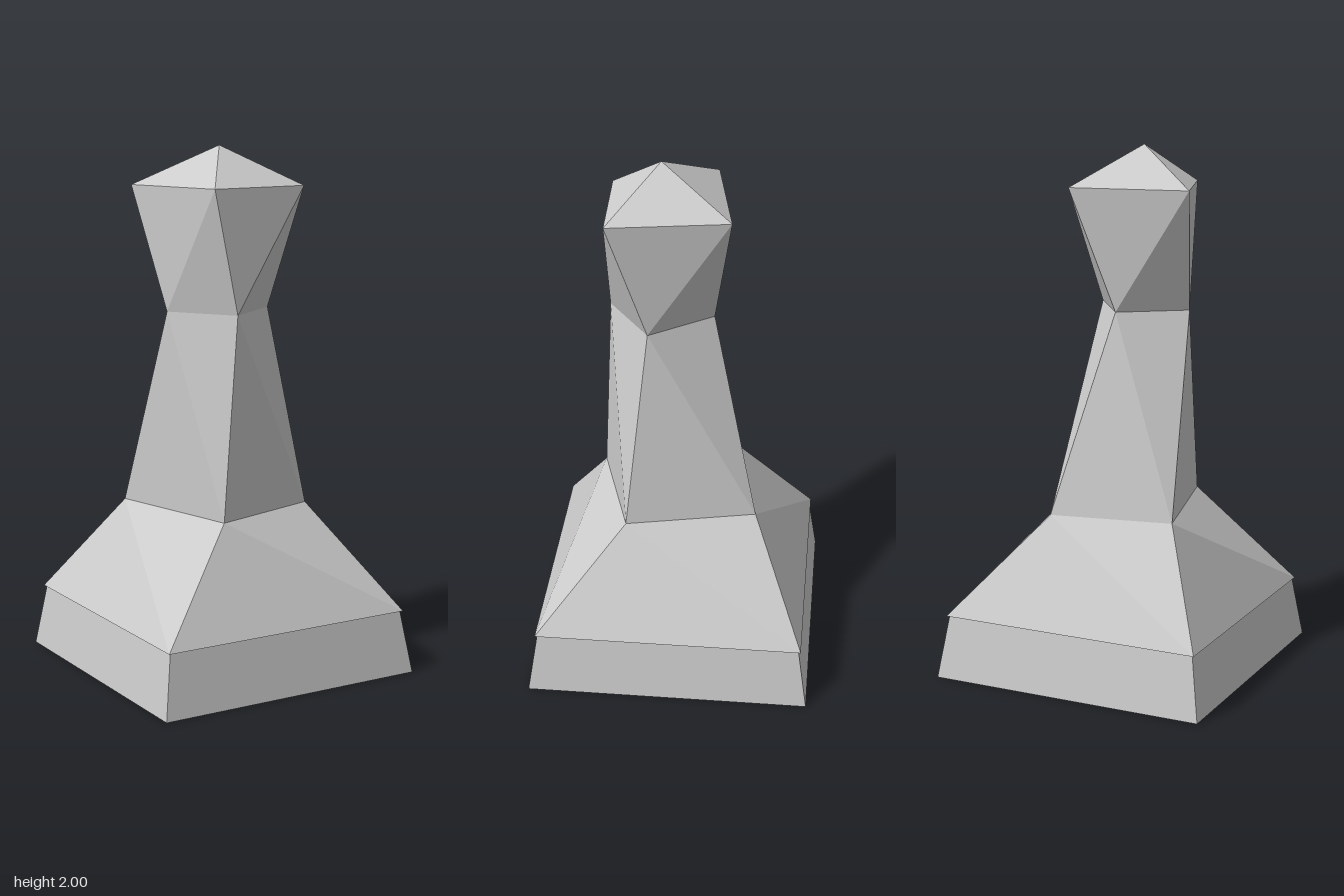
import * as THREE from 'three';

const material = new THREE.MeshStandardMaterial({ color: 0xcccccc, flatShading: true, side: THREE.DoubleSide });

// Cross-sections: corners [x, z] ordered back-left, front-left, front-right, back-right
const square = (h) => [[-h, -h], [-h, h], [h, h], [h, -h]];
const ring = (y, corners) => corners.map(([x, z]) => [x, y, z]);

const plinthBottom = ring(0, square(0.54));
const plinthTop = ring(0.24, square(0.503));
const skirtBottom = ring(0.24, square(0.512));
const waist = ring(0.63, [[-0.295, -0.222], [-0.165, 0.312], [0.278, 0.18], [0.168, -0.31]]);
const collar = ring(1.39, [[-0.247, 0.035], [-0.082, 0.27], [0.15, 0.105], [-0.018, -0.13]]);
const brow = ring(1.853, [[-0.31, -0.12], [-0.176, 0.265], [0.216, 0.25], [0.14, -0.2]]);
const apex = [-0.042, 2, 0.07];

function facetMesh(name, points) {
  const geometry = new THREE.BufferGeometry();
  geometry.setAttribute('position', new THREE.Float32BufferAttribute(points.flat(), 3));
  geometry.computeVertexNormals();
  const mesh = new THREE.Mesh(geometry, material);
  mesh.name = name;
  return mesh;
}

// Open band between two rings; "rising" runs each diagonal from lower corner to the next upper one
function band(name, lower, upper, rising = false) {
  const points = [];
  lower.forEach((a, i) => {
    const j = (i + 1) % lower.length;
    const b = lower[j], c = upper[j], d = upper[i];
    points.push(...(rising ? [a, b, c, a, c, d] : [a, b, d, b, c, d]));
  });
  return facetMesh(name, points);
}

// Pyramid closing a ring to a single point
function cap(name, base, tip) {
  return facetMesh(name, base.flatMap((p, i) => [p, base[(i + 1) % base.length], tip]));
}

export function createModel() {
  const model = new THREE.Group();
  model.name = 'twistedPawn';
  model.add(
    band('plinth', plinthBottom, plinthTop),
    band('skirt', skirtBottom, waist),
    band('neck', waist, collar),
    band('head', collar, brow, true),
    cap('crown', brow, apex)
  );
  return model;
}
